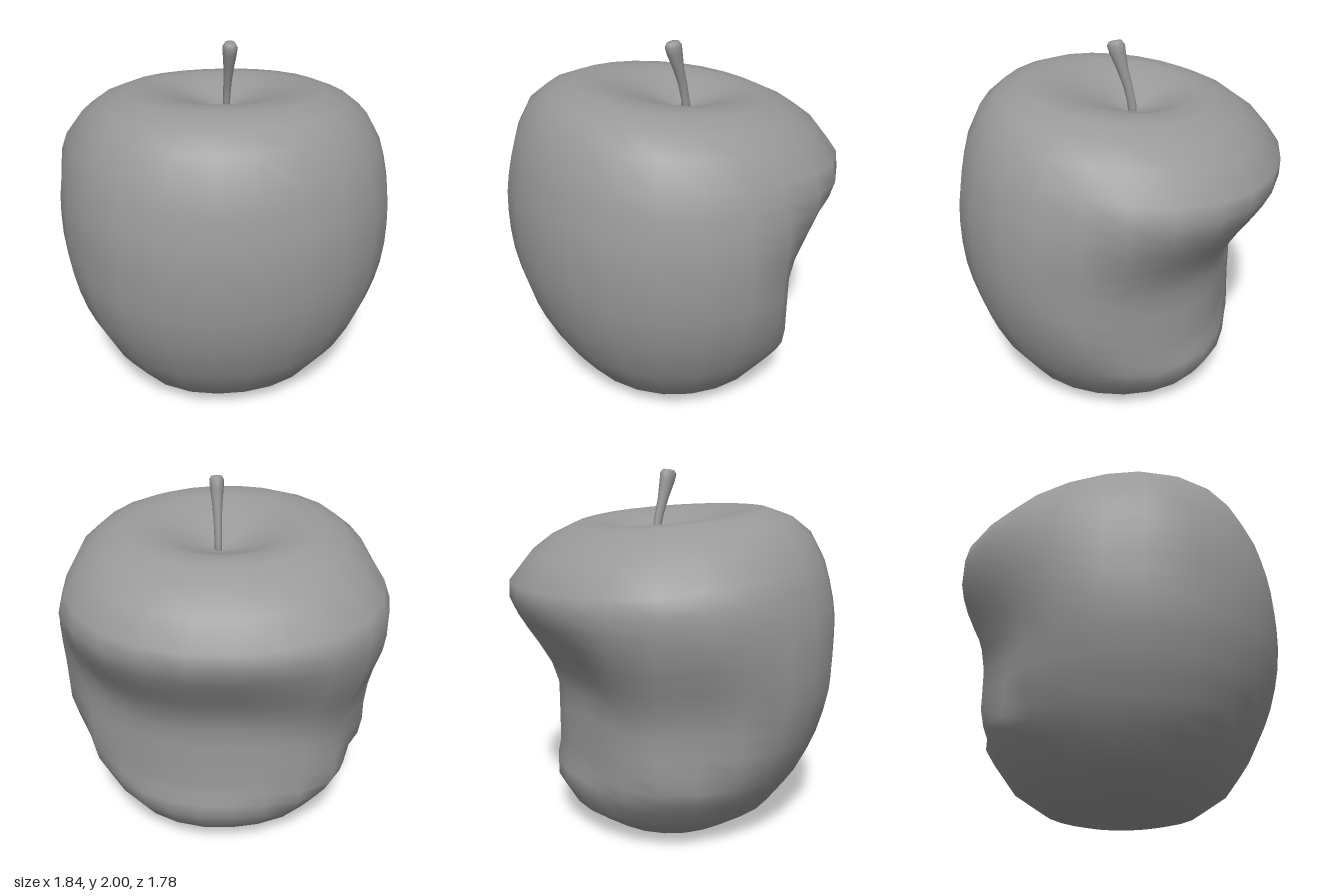
import * as THREE from 'three';
import { mergeVertices } from 'three/addons/utils/BufferGeometryUtils.js';

const { smoothstep, lerp } = THREE.MathUtils;

// Piecewise-linear lookup in a short list of [key, value] pairs
function lookup(table, t) {
  for (let i = 1; i < table.length; i++) {
    const [a, va] = table[i - 1], [b, vb] = table[i];
    if (t <= b) return lerp(va, vb, Math.max(0, (t - a) / (b - a)));
  }
  return table[table.length - 1][1];
}

const bump = (t, centre, width) => Math.exp(-(((t - centre) / width) ** 2));

// Lathe with its vertices moved by a rule, then welded for smooth normals
function shapedLathe(name, profile, segments, rule, material) {
  const points = profile.map(([r, y]) => new THREE.Vector2(r, y));
  let geo = new THREE.LatheGeometry(points, segments);
  const pos = geo.attributes.position;
  const v = new THREE.Vector3();
  for (let i = 0; i < pos.count; i++) {
    v.fromBufferAttribute(pos, i);
    rule(v);
    pos.setXYZ(i, v.x, v.y, v.z);
  }
  geo.deleteAttribute('uv');
  geo.deleteAttribute('normal');
  geo = mergeVertices(geo, 1e-4);
  geo.computeVertexNormals();
  const mesh = new THREE.Mesh(geo, material);
  mesh.name = name;
  return mesh;
}

// Fruit outline from the underside dimple up into the stem hollow
const fruitProfile = [
  [0, 0.055], [0.2, 0.035], [0.33, 0], [0.43, 0.025], [0.59, 0.13],
  [0.68, 0.25], [0.735, 0.33], [0.765, 0.39], [0.81, 0.48], [0.85, 0.58],
  [0.885, 0.7], [0.91, 0.82], [0.923, 0.95], [0.925, 1.07], [0.92, 1.18],
  [0.905, 1.28], [0.882, 1.38], [0.85, 1.48], [0.77, 1.615], [0.67, 1.695],
  [0.54, 1.748], [0.42, 1.75], [0.29, 1.712], [0.16, 1.66], [0.07, 1.625], [0, 1.61],
];

// Bite floor: distance from the axis by angle (degrees from +x towards the back),
// a wide scallop and a small one with a ridge between them
const biteFloor = [
  [-10, 0.93], [0, 0.89], [15, 0.775], [30, 0.695], [45, 0.66], [60, 0.64], [75, 0.62],
  [90, 0.61], [105, 0.645], [120, 0.72], [135, 0.8], [150, 0.76], [165, 0.83], [180, 0.93],
];

function shapeFruit(v) {
  const radius = Math.hypot(v.x, v.z);
  // Slightly squarish plan, fuller on the right side
  const diagonal = radius > 0 ? (2 * v.x * v.z / radius ** 2) ** 2 : 0;
  const swell = 1 + (v.x < 0 ? 0.035 : 0.015) * diagonal;
  v.x *= swell;
  v.z *= 0.965 * swell;
  // Top slopes down towards the back and a little towards the left
  const high = smoothstep(v.y, 0.6, 1.6);
  const slope = v.z > 0 ? 0.085 * smoothstep(v.y, 1.3, 1.75) : 0.108 * high;
  v.y += slope * v.z - 0.015 * v.x * high;
  // Stem hollow sits a little behind the centre
  if (v.y > 1.5) v.z -= 0.07 * (1 - smoothstep(radius, 0.1, 0.55));
  if (radius < 0.5) return;

  const angle = Math.atan2(-v.z, v.x) * 180 / Math.PI;
  const r = Math.hypot(v.x, v.z);
  // Overhanging lip above the bite, fullest over the ridge
  const back = Math.sqrt(Math.max(0, -v.z / r));
  const lip = (0.065 * back + 0.015 * bump(angle, 128, 20)) * bump(v.y, 1.4, 0.16);
  // The bite is shorter over the ridge and small scallop
  const side = smoothstep(angle, 95, 135);
  const top = 1.38 - 0.12 * side;
  const depth = smoothstep(v.y, 0.12 + 0.15 * side, 0.42) * (1 - smoothstep(v.y, top - 0.6, top));
  const target = lerp(r, Math.min(r, lookup(biteFloor, angle)), depth) + lip;
  v.x *= target / r;
  v.z *= target / r;
}

// Stem outline, thicker and blunt at the tip
const stemProfile = [
  [0, 1.57], [0.02, 1.58], [0.02, 1.65], [0.022, 1.75], [0.027, 1.84],
  [0.037, 1.93], [0.04, 1.97], [0.03, 1.99], [0, 1.995],
];

function shapeStem(v) {
  // Bend forwards, with a tip slanting down to the front
  const bend = 0.1 * smoothstep(v.y, 1.6, 2.05);
  if (v.y > 1.9) v.y -= v.z * 0.2;
  v.z = v.z * 1.2 - 0.08 + bend;
  v.x += 0.027;
}

export function createModel() {
  const group = new THREE.Group();
  group.name = 'bittenApple';
  const material = new THREE.MeshStandardMaterial({ color: 0x999999 });
  group.add(
    shapedLathe('fruit', fruitProfile, 24, shapeFruit, material),
    shapedLathe('stem', stemProfile, 10, shapeStem, material),
  );
  return group;
}
